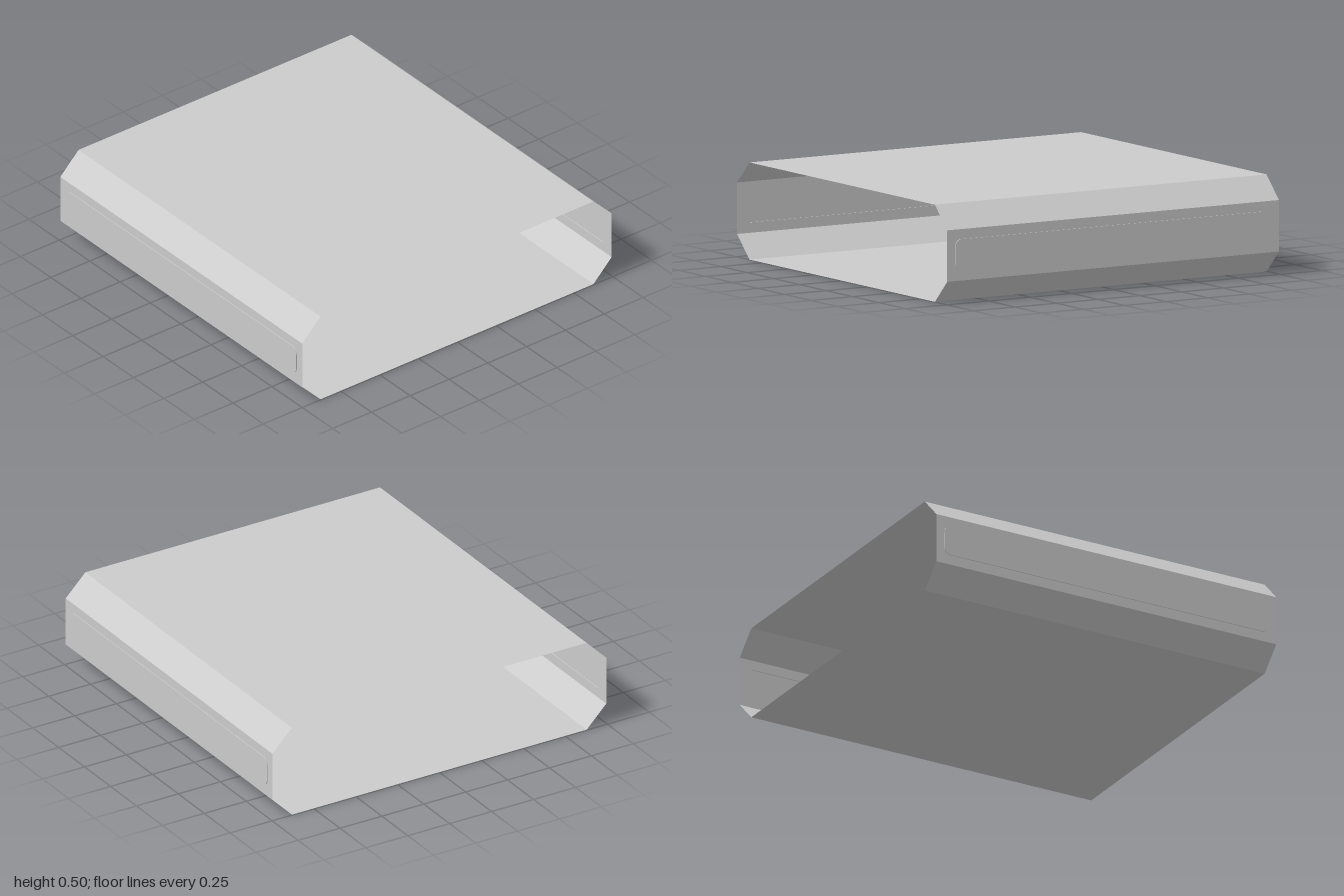
import * as THREE from 'three';

const W = 0.996;        // half width and half depth of the sleeve
const H = 0.498;        // height
const C = 0.117;        // chamfer
const PANEL_Z = 1;      // face of the raised side panels

const material = new THREE.MeshStandardMaterial({ color: 0xcccccc, side: THREE.DoubleSide });

function mesh(name, geometry) {
  const m = new THREE.Mesh(geometry, material);
  m.name = name;
  return m;
}

// Flat-faced band between two matching rows of points
function band(a, b) {
  const points = [];
  for (let i = 0; i < a.length - 1; i++) {
    points.push(a[i], b[i], b[i + 1], a[i], b[i + 1], a[i + 1]);
  }
  const geometry = new THREE.BufferGeometry().setFromPoints(points);
  geometry.computeVertexNormals();
  return geometry;
}

// Band of the sleeve running the full width along a (z, y) profile
function sleeveBand(profile) {
  const row = (x) => profile.map(([z, y]) => new THREE.Vector3(x, y, z));
  return band(row(-W), row(W));
}

// Rounded rectangle, counter-clockwise
function roundedRect(PathType, x0, y0, x1, y1, r) {
  const p = new PathType();
  p.moveTo(x0 + r, y0);
  p.lineTo(x1 - r, y0);
  p.absarc(x1 - r, y0 + r, r, -Math.PI / 2, 0);
  p.lineTo(x1, y1 - r);
  p.absarc(x1 - r, y1 - r, r, 0, Math.PI / 2);
  p.lineTo(x0 + r, y1);
  p.absarc(x0 + r, y1 - r, r, Math.PI / 2, Math.PI);
  p.lineTo(x0, y0 + r);
  p.absarc(x0 + r, y0 + r, r, Math.PI, Math.PI * 1.5);
  return p;
}

// Side wall with an opening, closed by a slightly raised hollow panel
function createSide(name) {
  const side = new THREE.Group();
  side.name = name;
  const outline = [-0.95, 0.17, 0.95, 0.33, 0.04];

  const wall = new THREE.Shape();
  wall.moveTo(-W, C);
  wall.lineTo(W, C);
  wall.lineTo(W, H - C);
  wall.lineTo(-W, H - C);
  wall.closePath();
  wall.holes.push(roundedRect(THREE.Path, ...outline));
  side.add(mesh('sideWall', new THREE.ShapeGeometry(wall, 8).translate(0, 0, W)));

  const panel = roundedRect(THREE.Shape, ...outline);
  side.add(mesh('raisedPanel', new THREE.ShapeGeometry(panel, 8).translate(0, 0, PANEL_Z)));

  const edge = panel.getPoints(8);
  const row = (z) => edge.map((p) => new THREE.Vector3(p.x, p.y, z));
  side.add(mesh('panelRim', band(row(PANEL_Z), row(W))));

  // Chamfers above and below the wall
  side.add(mesh('lowerChamfer', sleeveBand([[W - C, 0], [W, C]])));
  side.add(mesh('upperChamfer', sleeveBand([[W, H - C], [W - C, H]])));
  return side;
}

export function createModel() {
  const model = new THREE.Group();
  model.name = 'openSleeve';

  // Top and bottom sheets; both x ends stay open
  model.add(mesh('topSheet', sleeveBand([[W - C, H], [C - W, H]])));
  model.add(mesh('bottomSheet', sleeveBand([[C - W, 0], [W - C, 0]])));

  // Front side and its copy turned to the back
  const back = createSide('backSide');
  back.rotation.y = Math.PI;
  model.add(createSide('frontSide'), back);
  return model;
}
